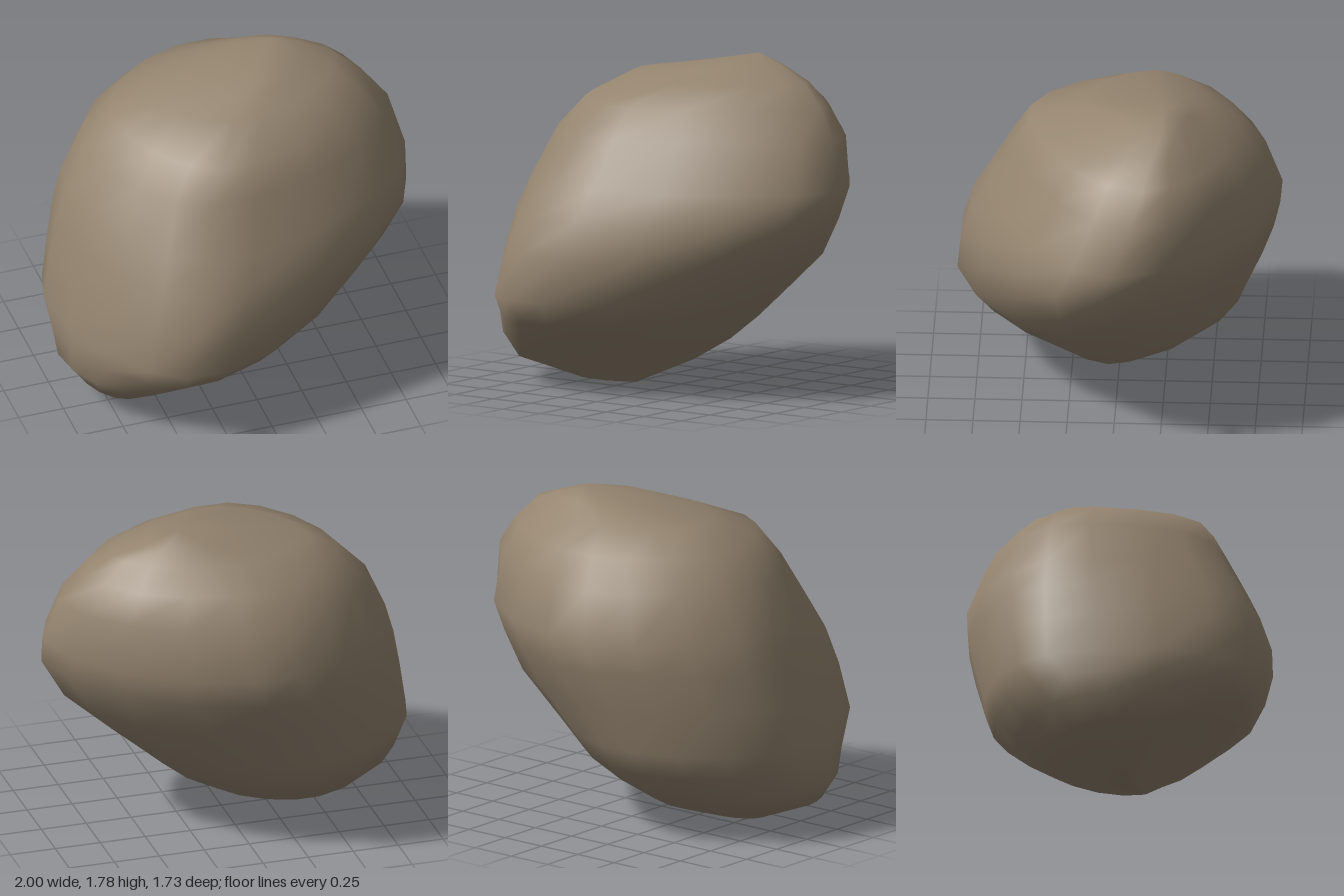
import * as THREE from 'three';

const SEGMENTS = 18;

// Horizontal sections: height, then the left/right/back/front tips
// y, [xMin, z there], [xMax, z there], [zMin, x there], [zMax, x there]
const SECTIONS = [
  [0.01, [-0.57, 0.14], [-0.20, 0.13], [0.03, -0.38], [0.19, -0.42]],
  [0.13, [-0.88, 0.16], [0.07, 0.05], [-0.32, -0.38], [0.45, -0.68]],
  [0.25, [-0.98, 0.10], [0.27, 0.02], [-0.49, -0.33], [0.62, -0.56]],
  [0.38, [-0.99, 0.03], [0.43, 0.02], [-0.64, -0.30], [0.78, -0.42]],
  [0.51, [-1.00, -0.08], [0.59, 0.04], [-0.69, -0.28], [0.88, -0.43]],
  [0.75, [-0.96, -0.10], [0.86, 0.04], [-0.78, -0.20], [0.855, -0.36]],
  [0.95, [-0.92, -0.12], [0.975, 0.08], [-0.845, -0.13], [0.80, -0.30]],
  [1.12, [-0.87, -0.13], [0.995, 0.00], [-0.88, -0.07], [0.71, -0.24]],
  [1.38, [-0.75, -0.16], [0.93, -0.10], [-0.79, -0.03], [0.57, -0.18]],
  [1.54, [-0.59, -0.18], [0.80, -0.16], [-0.67, 0.02], [0.48, -0.12]],
  [1.65, [-0.40, -0.20], [0.67, -0.20], [-0.50, 0.08], [0.22, 0.02]],
  [1.72, [0.02, -0.23], [0.49, -0.25], [-0.39, 0.22], [0.02, 0.20]],
];

// Point on a section: four curved quadrants joining the tips
function sectionPoint([y, left, right, back, front], angle) {
  const c = Math.cos(angle), s = Math.sin(angle);
  const side = c > 0 ? right : left, end = s > 0 ? front : back;
  const bend = 1.14;
  const cx = Math.abs(c) ** bend, sz = Math.abs(s) ** bend;
  const p = new THREE.Vector3(
    end[1] + (side[0] - end[1]) * cx, y,
    side[1] + (end[0] - side[1]) * sz);
  // shallow hollow under the front overhang
  const d = p.distanceTo(new THREE.Vector3(-0.28, 0.2, 0.5));
  p.z -= 0.07 * Math.exp(-((d / 0.2) ** 2));
  return p;
}

function createBoulderGeometry() {
  const points = [], index = [];
  SECTIONS.forEach((section) => {
    for (let j = 0; j < SEGMENTS; j++) {
      points.push(sectionPoint(section, (j / SEGMENTS) * Math.PI * 2));
    }
  });
  const bottom = points.push(new THREE.Vector3(-0.4, 0, 0.14)) - 1;
  const top = points.push(new THREE.Vector3(0.32, 1.78, -0.26)) - 1;
  const last = (SECTIONS.length - 1) * SEGMENTS;

  for (let j = 0; j < SEGMENTS; j++) {
    const k = (j + 1) % SEGMENTS;
    for (let i = 0; i < last; i += SEGMENTS) {
      const a = i + j, b = i + k, c = a + SEGMENTS, d = b + SEGMENTS;
      index.push(a, c, b, b, c, d);
    }
    index.push(bottom, j, k, last + j, top, last + k);
  }

  const geometry = new THREE.BufferGeometry().setFromPoints(points);
  geometry.setIndex(index);
  geometry.computeVertexNormals();
  return geometry;
}

export function createModel() {
  const stone = new THREE.MeshStandardMaterial({ color: 0x94846f });
  stone.name = 'stone';
  const boulder = new THREE.Mesh(createBoulderGeometry(), stone);
  boulder.name = 'boulder';
  const group = new THREE.Group();
  group.name = 'rock';
  group.add(boulder);
  return group;
}
